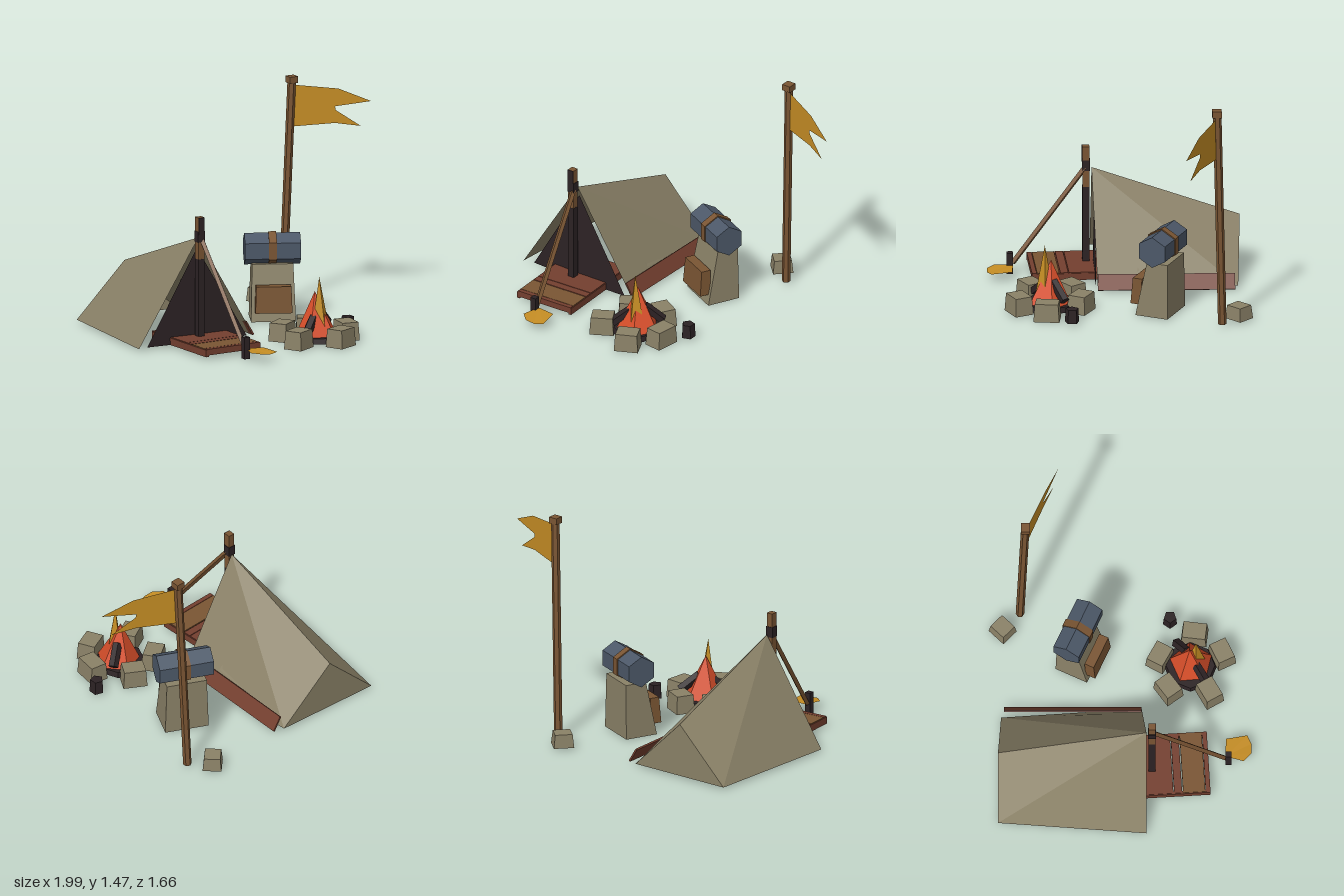
import * as THREE from 'three';

const V = (x, y, z) => new THREE.Vector3(x, y, z);

export function createModel() {
  const model = new THREE.Group();
  model.name = 'campsite';

  const mat = (name, color, double) => {
    const m = new THREE.MeshStandardMaterial({ color });
    m.name = name;
    if (double) m.side = THREE.DoubleSide;
    return m;
  };
  const canvas = mat('canvas and stone', 0x8a8167, true);
  const brown = mat('wood brown', 0x7a5533);
  const red = mat('red wood', 0x743f2f);
  const dark = mat('charcoal', 0x2c2224, true);
  const blue = mat('blanket blue', 0x4c5868);
  const yellow = mat('ochre', 0xc58d24, true);
  const orange = mat('flame orange', 0xd74e2a);

  // Faceted mesh
  const add = (name, geo, material, parent = model) => {
    const g = geo.index ? geo.toNonIndexed() : geo;
    g.computeVertexNormals();
    const mesh = new THREE.Mesh(g, material);
    mesh.name = name;
    parent.add(mesh);
    return mesh;
  };
  // Box standing on its base, with a scaled and shifted top
  const block = (name, w, h, d, m, pos, ry = 0, sx = 1, sz = 1, dz = 0, parent = model) => {
    const g = new THREE.BoxGeometry(w, h, d).translate(0, h / 2, 0);
    const p = g.attributes.position;
    for (let i = 0; i < p.count; i++) {
      if (p.getY(i) > h / 2) p.setXYZ(i, p.getX(i) * sx, h, p.getZ(i) * sz + dz);
    }
    const mesh = add(name, g, m, parent);
    mesh.position.set(...pos);
    mesh.rotation.y = ry;
    return mesh;
  };
  // Prism running between two points
  const beam = (name, a, b, r0, r1, sides, m) => {
    const dir = b.clone().sub(a);
    const mesh = add(name, new THREE.CylinderGeometry(r1, r0, dir.length(), sides), m);
    mesh.position.copy(a).add(b).multiplyScalar(0.5);
    mesh.quaternion.setFromUnitVectors(V(0, 1, 0), dir.normalize());
    return mesh;
  };
  // Fan of triangles through the given corners
  const sheet = (name, pts, m) => {
    const tri = [];
    for (let i = 1; i < pts.length - 1; i++) tri.push(pts[0], pts[i], pts[i + 1]);
    return add(name, new THREE.BufferGeometry().setFromPoints(tri), m);
  };

  // Tent: two slopes, closed back, dark door flaps
  const ridgeF = V(-0.57, 0.7, 0.16), ridgeB = V(-0.585, 0.37, -0.78);
  const leftF = V(-1, 0.02, 0.16), leftB = V(-0.93, 0.02, -0.78);
  const rightF = V(-0.16, 0.02, 0.13), rightB = V(-0.22, 0.02, -0.76);
  sheet('tentSlopeOuter', [ridgeF, ridgeB, leftB, leftF], canvas);
  sheet('tentSlopeInner', [ridgeF, rightF, rightB, ridgeB], canvas);
  sheet('tentBack', [ridgeB, rightB, leftB], canvas);
  for (const x of [-0.93, -0.21]) {
    sheet('doorFlap', [V(-0.57, 0.63, 0.14), V(x, 0.02, 0.14), V(-0.57, 0.02, 0.15)], dark);
  }

  // Patch lying on the slope
  const slopeY = (x, z) => {
    const t = (0.16 - z) / 0.94;
    const x0 = -0.57 - 0.015 * t, x1 = -0.16 - 0.06 * t, top = 0.7 - 0.33 * t;
    return top + (0.02 - top) * (x - x0) / (x1 - x0);
  };
  sheet('tentPatch', [[-0.41, -0.385], [-0.41, -0.14], [-0.235, -0.12], [-0.235, -0.41]]
    .map(([x, z]) => V(x + 0.005, slopeY(x, z) + 0.008, z)), canvas);

  // Board leaning along the tent's lower edge
  const edgeBoard = add('edgeBoard', new THREE.BoxGeometry(0.012, 0.105, 0.87), red);
  edgeBoard.position.set(-0.182, 0.063, -0.305);
  edgeBoard.rotation.z = 0.54;

  // Tent post with wrapped bands, slanted brace and peg
  block('postLower', 0.045, 0.55, 0.045, dark, [-0.58, 0.02, 0.195]);
  block('postUpper', 0.043, 0.27, 0.043, brown, [-0.58, 0.57, 0.195]);
  block('postBand', 0.05, 0.07, 0.05, dark, [-0.58, 0.68, 0.195]);
  block('postFrontPlate', 0.043, 0.11, 0.006, dark, [-0.58, 0.73, 0.218]);
  beam('brace', V(-0.57, 0.7, 0.2), V(-0.515, 0.08, 0.66), 0.018, 0.018, 4, brown);
  block('peg', 0.04, 0.14, 0.04, dark, [-0.515, 0.01, 0.68]);

  // Plank platform
  const floor = new THREE.Group();
  floor.name = 'platform';
  floor.position.set(-0.555, 0.02, 0.23);
  floor.rotation.y = 0.06;
  model.add(floor);
  const planks = [[-0.22, 0.2, red], [-0.01, 0.2, red], [0.12, 0.05, red], [0.222, 0.14, brown], [0.31, 0.03, red]];
  for (const [z, d, m] of planks) block('plank', 0.4, 0.04, d, m, [0, 0.01, z], 0, 1, 1, 0, floor);
  for (const x of [-0.195, 0.195]) block('platformRail', 0.02, 0.045, 0.64, red, [x, 0, 0.005], 0, 1, 1, 0, floor);

  // Scrap of cloth by the peg
  sheet('clothScrap', [V(-0.5, 0.07, 0.66), V(-0.38, 0.065, 0.665), V(-0.355, 0.06, 0.8),
    V(-0.41, 0.055, 0.825), V(-0.475, 0.06, 0.825), V(-0.53, 0.065, 0.775)], yellow);

  // Flagpole, cap and swallowtail flag
  beam('flagpole', V(0.482, 0.02, -0.64), V(0.53, 1.44, -0.607), 0.027, 0.027, 6, brown);
  block('poleCap', 0.06, 0.042, 0.06, brown, [0.53, 1.435, -0.605]);
  const outline = [[0.54, 1.42], [0.8, 1.39], [0.99, 1.305], [0.78, 1.275], [0.785, 1.25],
    [0.93, 1.145], [0.78, 1.167], [0.54, 1.15]].map(([x, y]) => new THREE.Vector2(x, y));
  const flag = new THREE.ShapeGeometry(new THREE.Shape(outline));
  const fp = flag.attributes.position;
  for (let i = 0; i < fp.count; i++) fp.setZ(i, -0.6 + (fp.getX(i) - 0.54) * 0.45);
  add('flag', flag, yellow);
  block('poleStone', 0.13, 0.088, 0.12, canvas, [0.365, 0.015, -0.75], 0.8, 0.86, 0.86);

  // Fire ring: five stones around an ash bed
  const stones = [[-0.04, 0.3, 0.63], [0.175, 0.245, -0.5], [0.33, 0.465, -0.12], [0.195, 0.64, 0.45], [-0.065, 0.56, 0.52]];
  stones.forEach(([x, z, ry], i) => {
    const side = i === 2 ? [0.12, 0.165] : [0.155, 0.125];
    block('ringStone', side[0], 0.118, side[1], canvas, [x, 0.005, z], ry, 0.9, 0.9);
  });
  add('ashBed', new THREE.CylinderGeometry(0.155, 0.165, 0.035, 8), dark).position.set(0.12, 0.035, 0.44);

  // Flames and charred logs
  const flame = (name, m, r, sides, base, tip, turn) => {
    const g = new THREE.ConeGeometry(r, 1, sides).rotateY(turn).translate(0, 0.5, 0);
    const p = g.attributes.position;
    for (let i = 0; i < p.count; i++) {
      const t = p.getY(i);
      p.setXYZ(i, p.getX(i) + base[0] + (tip[0] - base[0]) * t, base[1] + (tip[1] - base[1]) * t,
        p.getZ(i) + base[2] + (tip[2] - base[2]) * t);
    }
    add(name, g, m);
  };
  flame('outerFlame', orange, 0.14, 5, [0.135, 0.05, 0.445], [0.12, 0.33, 0.435], 0.4);
  flame('innerFlame', yellow, 0.07, 4, [0.14, 0.05, 0.475], [0.13, 0.43, 0.475], 0);
  beam('log', V(0.255, 0.1, 0.35), V(0.16, 0.2, 0.42), 0.033, 0.03, 5, dark);
  beam('log', V(0.0, 0.08, 0.54), V(0.09, 0.17, 0.47), 0.033, 0.03, 5, dark);
  add('stump', new THREE.CylinderGeometry(0.042, 0.047, 0.09, 5).rotateY(-0.3), dark).position.set(0.425, 0.065, 0.31);

  // Backpack with pocket and bedroll
  const pack = new THREE.Group();
  pack.name = 'backpack';
  pack.position.set(0.195, 0, -0.255);
  pack.rotation.y = -0.435;
  model.add(pack);
  block('packBody', 0.285, 0.36, 0.22, canvas, [0, 0.01, 0], 0, 0.92, 0.65, -0.035, pack);
  block('packPocket', 0.235, 0.17, 0.07, brown, [0, 0.075, 0.12], 0, 0.95, 0.9, -0.01, pack);
  const roll = (name, r, len, m) => {
    const g = new THREE.CylinderGeometry(r, r, len, 6).rotateZ(Math.PI / 2);
    // Turn the hexagon so a ridge points up
    g.rotateX(Math.PI / 2);
    add(name, g, m, pack).position.set(0, 0.46, -0.02);
  };
  roll('bedroll', 0.102, 0.355, blue);
  roll('bedrollStrap', 0.11, 0.05, brown);

  return model;
}
